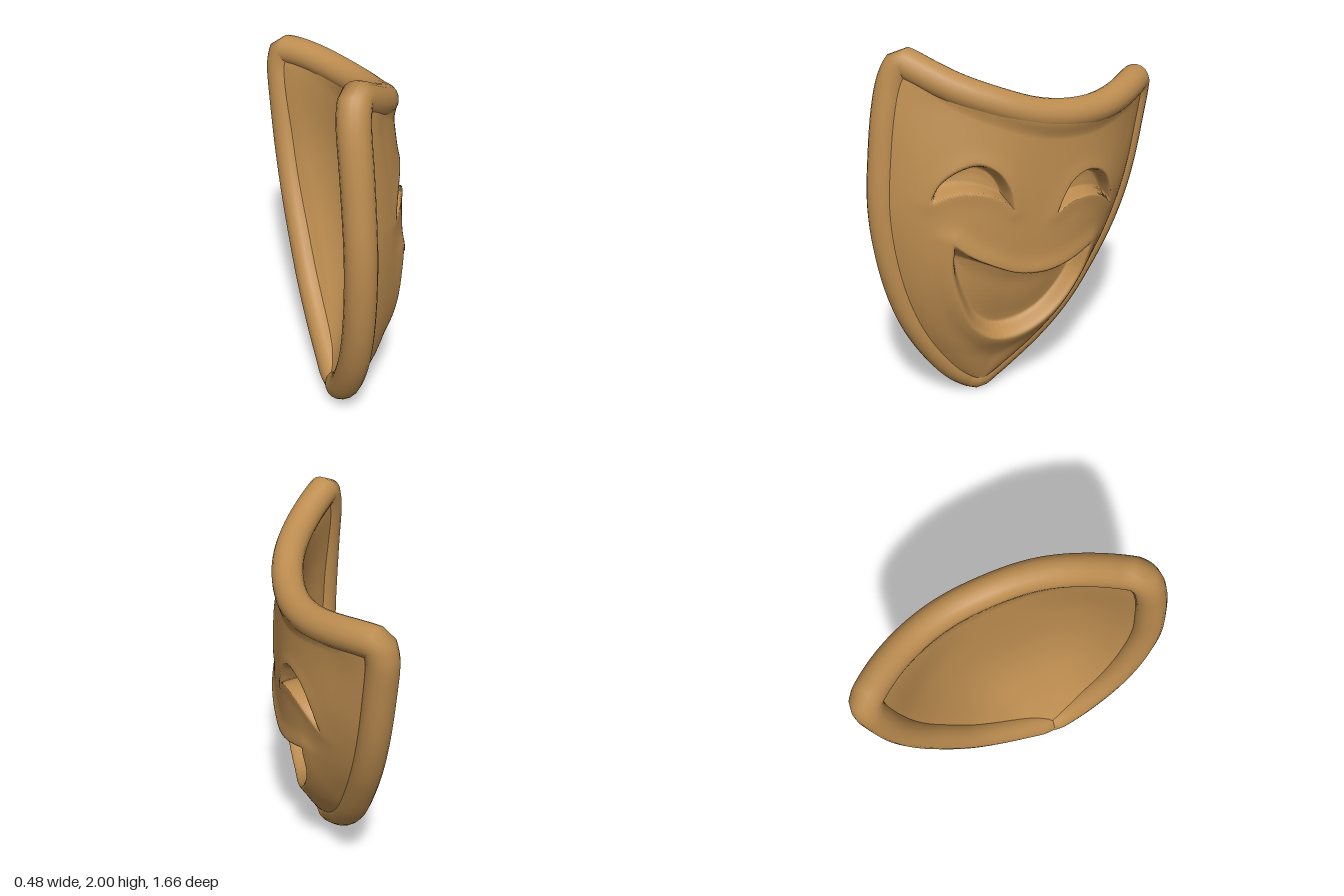
import * as THREE from 'three';

// The mask faces +x. It is drawn flat as (a, y), with a = -z, and then given depth along x.
const N = 360;          // samples round the outline
const RIM = 0.081;      // rim radius
const CENTRE = [-0.05, 1.06];
const { clamp, lerp, smoothstep } = THREE.MathUtils;

const OUTLINE = [
  [-0.28, 0], [-0.37, 0.045], [-0.48, 0.145], [-0.65, 0.4], [-0.75, 0.65], [-0.81, 0.93], [-0.83, 1.2],
  [-0.81, 1.45], [-0.775, 1.7], [-0.725, 1.89], [-0.67, 1.98], [-0.6, 2.004], [-0.53, 1.97], [-0.4, 1.89],
  [-0.2, 1.805], [0, 1.735], [0.2, 1.705], [0.4, 1.705], [0.6, 1.73], [0.72, 1.74], [0.8, 1.715],
  [0.832, 1.62], [0.8, 1.4], [0.73, 1.1], [0.63, 0.85], [0.5, 0.63], [0.33, 0.4], [0.15, 0.235],
  [-0.05, 0.1], [-0.19, 0.02],
];

// Each hollow has an upper and a lower edge that share both corners
const HOLLOWS = [
  { // mouth
    upper: [[-0.5, 1.04], [-0.42, 0.97], [-0.3, 0.9], [-0.15, 0.83], [0, 0.81], [0.15, 0.83], [0.32, 0.88]],
    lower: [[-0.5, 1.04], [-0.51, 0.88], [-0.465, 0.68], [-0.375, 0.5], [-0.25, 0.405], [-0.1, 0.395],
      [0.1, 0.48], [0.27, 0.68], [0.32, 0.88]],
    upperWall: 0.022, lowerWall: 0.085, depth: 0.1, lip: 0.02, lipWidth: 0.065,
  },
  { // eye on the +z side
    upper: [[-0.59, 1.25], [-0.54, 1.35], [-0.45, 1.42], [-0.35, 1.445], [-0.26, 1.4], [-0.2, 1.3], [-0.18, 1.18]],
    lower: [[-0.59, 1.25], [-0.5, 1.295], [-0.42, 1.307], [-0.33, 1.29], [-0.25, 1.25], [-0.18, 1.18]],
    upperWall: 0.04, lowerWall: 0.016, depth: 0.095, lip: 0.006, lipWidth: 0.05,
  },
  { // eye on the -z side
    upper: [[0.06, 1.12], [0.1, 1.21], [0.16, 1.29], [0.25, 1.325], [0.36, 1.29], [0.43, 1.2], [0.475, 1.04]],
    lower: [[0.06, 1.12], [0.12, 1.155], [0.18, 1.175], [0.27, 1.176], [0.36, 1.145], [0.42, 1.1], [0.475, 1.04]],
    upperWall: 0.04, lowerWall: 0.016, depth: 0.095, lip: 0.006, lipWidth: 0.05,
  },
];

function spline(points, closed, count) {
  const curve = new THREE.CatmullRomCurve3(points.map(([a, y]) => new THREE.Vector3(a, y, 0)), closed);
  return curve.getSpacedPoints(count).map((p) => [p.x, p.y]);
}

// Linear interpolation through [position, value] pairs
function lookup(table, t) {
  if (t <= table[0][0]) return table[0][1];
  for (let i = 1; i < table.length; i++) {
    const [t0, v0] = table[i - 1], [t1, v1] = table[i];
    if (t <= t1) return v0 + (v1 - v0) * (t - t0) / (t1 - t0);
  }
  return table[table.length - 1][1];
}

// Centre line of the rim: the outline moved inward by the rim radius, then softened
function rimLine() {
  const outer = spline(OUTLINE, true, N).slice(0, N);
  const line = outer.map(([a, y], i) => {
    const p = outer[(i + N - 1) % N], n = outer[(i + 1) % N];
    const tx = n[0] - p[0], ty = n[1] - p[1], len = Math.hypot(tx, ty);
    return [a + RIM * ty / len, y - RIM * tx / len];
  });
  return line.map((c, i) => {
    const p = line[(i + N - 3) % N], n = line[(i + 3) % N];
    return [(p[0] + c[0] + n[0]) / 3, (p[1] + c[1] + n[1]) / 3];
  });
}

// Face frame: u across, v up the tilted centre line from the chin
const toFace = ([a, y]) => [(a + 0.28) * 0.979 - y * 0.203, (a + 0.28) * 0.203 + y * 0.979];

const BORDER = rimLine();
const sideWidth = (sign) => BORDER.map(toFace)
  .filter(([u, v]) => u * sign > 0.03 && v < 1.62)
  .map(([u, v]) => [v, Math.abs(u)])
  .sort((p, q) => p[0] - q[0]);
const WIDTHS = { left: sideWidth(-1), right: sideWidth(1) };
const CENTRE_DEPTH = new THREE.SplineCurve([[0, -0.125], [0.1, -0.105], [0.25, -0.035], [0.4, 0.035],
  [0.65, 0.122], [0.9, 0.163], [1.2, 0.172], [1.6, 0.165], [1.9, 0.163]]
  .map(([v, x]) => new THREE.Vector2(v, x))).getPoints(60).map((p) => [p.x, p.y]);

// Domed shell, level along both sides and bulging towards the centre line
function shellDepth(a, y) {
  const [u, v] = toFace([a, y]);
  const edge = -0.117 - 0.024 * v;
  const r = Math.min(1, Math.abs(u) / lookup(u < 0 ? WIDTHS.left : WIDTHS.right, v));
  const fullness = lerp(2.75, 2.2, smoothstep(v, 1.25, 1.7));
  return edge + (lookup(CENTRE_DEPTH, v) - edge) * (1 - Math.pow(r, fullness));
}

// Thickness measured along x grows where the shell slopes, and swells to meet the rim
function thickness(a, y, s, base) {
  const e = 0.03, x = shellDepth(a, y);
  const slope = Math.hypot(
    shellDepth(a + e, y) - shellDepth(a - e, y), shellDepth(a, y + e) - shellDepth(a, y - e)) / (2 * e);
  const sloped = base * Math.min(1.35, Math.hypot(1, slope));
  return { x, t: lerp(sloped, 0.075, smoothstep(s, 0.8, 0.97)) };
}

function distanceTo(line, a, y) {
  let best = Infinity;
  for (let i = 1; i < line.length; i++) {
    const [x0, y0] = line[i - 1], dx = line[i][0] - x0, dy = line[i][1] - y0;
    const t = clamp(((a - x0) * dx + (y - y0) * dy) / (dx * dx + dy * dy), 0, 1);
    best = Math.min(best, Math.hypot(a - x0 - t * dx, y - y0 - t * dy));
  }
  return best;
}

function inside(loop, a, y) {
  let hit = false;
  for (let i = 0, j = loop.length - 1; i < loop.length; j = i++) {
    const [xi, yi] = loop[i], [xj, yj] = loop[j];
    if ((yi > y) !== (yj > y) && a < (xj - xi) * (y - yi) / (yj - yi) + xi) hit = !hit;
  }
  return hit;
}

// Carves one hollow, with a soft raised lip round it
function carve(h, a, y) {
  const dU = distanceTo(h.up, a, y), dL = distanceTo(h.low, a, y), d = Math.min(dU, dL);
  let offset = h.lip * Math.exp(-((d / h.lipWidth) ** 2));
  if (inside(h.loop, a, y)) {
    const wall = lerp(h.upperWall, h.lowerWall, dU / (dU + dL + 1e-6));
    offset -= h.depth * smoothstep(d, 0, wall);
  }
  return offset;
}

// Skin filling the rim line: rings spread from the centre, depth set by a function
function skin(rings, depth, facesFront) {
  const pos = [], index = [];
  for (let i = 0; i <= rings; i++) {
    const s = i / rings;
    for (const [ba, by] of BORDER) {
      const a = lerp(CENTRE[0], ba, s), y = lerp(CENTRE[1], by, s);
      pos.push(depth(a, y, s), y, -a);
    }
  }
  for (let i = 0; i < rings; i++) {
    for (let j = 0; j < N; j++) {
      const k = (j + 1) % N;
      const p = i * N + j, q = p + N, r = (i + 1) * N + k, t = i * N + k;
      if (facesFront) index.push(p, r, q, p, t, r);
      else index.push(p, q, r, p, r, t);
    }
  }
  const geo = new THREE.BufferGeometry();
  geo.setAttribute('position', new THREE.Float32BufferAttribute(pos, 3));
  geo.setIndex(index);
  geo.computeVertexNormals();
  return geo;
}

export function createModel() {
  const group = new THREE.Group();
  group.name = 'smilingMask';
  const wood = new THREE.MeshStandardMaterial({ color: 0xbd8d50 });
  wood.name = 'warm tan';
  const add = (name, geometry) => {
    const mesh = new THREE.Mesh(geometry, wood);
    mesh.name = name;
    group.add(mesh);
  };

  const hollows = HOLLOWS.map((h) => {
    const up = spline(h.upper, false, 36), low = spline(h.lower, false, 36);
    return { ...h, up, low, loop: [...up, ...low.slice(1, -1).reverse()] };
  });

  // Carved face, plain back and rounded rim
  add('face', skin(110, (a, y, s) => {
    const { x, t } = thickness(a, y, s, 0.05);
    return hollows.reduce((sum, h) => sum + carve(h, a, y), x + t);
  }, true));
  add('back', skin(40, (a, y, s) => {
    const { x, t } = thickness(a, y, s, 0.064);
    return x - t;
  }, false));

  const rimPoints = BORDER.filter((_, i) => i % 4 === 0)
    .map(([a, y]) => new THREE.Vector3(shellDepth(a, y), y, -a));
  add('rim', new THREE.TubeGeometry(new THREE.CatmullRomCurve3(rimPoints, true), 240, RIM, 18, true));

  return group;
}
